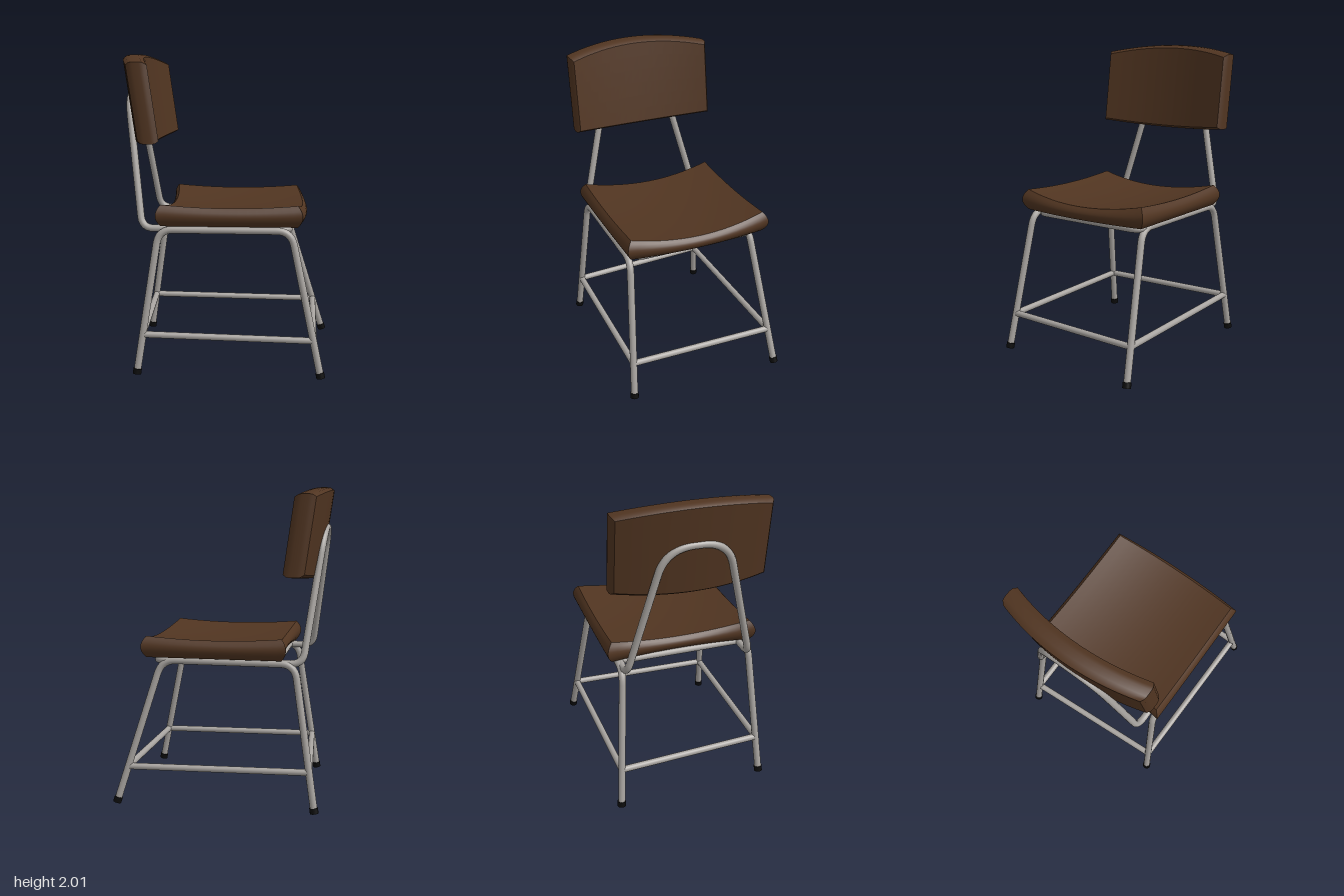
import * as THREE from 'three';

const wood = new THREE.MeshStandardMaterial({ color: 0x513521 });
wood.name = 'brown wood';
const steel = new THREE.MeshStandardMaterial({ color: 0xa8a4a0 });
steel.name = 'grey steel';
const rubber = new THREE.MeshStandardMaterial({ color: 0x0c0c0c });
rubber.name = 'black rubber';

const TUBE = 0.023;

function add(group, name, geometry, material) {
  const mesh = new THREE.Mesh(geometry, material);
  mesh.name = name;
  group.add(mesh);
  return mesh;
}

// Tube through corner points [x, y, z, bend]; each corner is rounded over its bend length
function bentTube(corners, closed = false) {
  const pts = corners.map(c => new THREE.Vector3(c[0], c[1], c[2]));
  const path = new THREE.CurvePath();
  let from = pts[0];
  for (let i = 1; i < pts.length - 1; i++) {
    const bend = corners[i][3] ?? 0.09;
    const toward = (p) => pts[i].clone().add(p.clone().sub(pts[i]).setLength(bend));
    const a = toward(pts[i - 1]), b = toward(pts[i + 1]);
    path.add(new THREE.LineCurve3(from, a));
    path.add(new THREE.QuadraticBezierCurve3(a, pts[i], b));
    from = b;
  }
  path.add(new THREE.LineCurve3(from, pts[pts.length - 1]));
  return new THREE.TubeGeometry(path, closed ? 220 : 110, TUBE, 12, closed);
}

// Straight round bar between two points
function bar(a, b, radius) {
  const dir = b.clone().sub(a);
  const geo = new THREE.CylinderGeometry(radius, radius, dir.length(), 14);
  geo.applyQuaternion(new THREE.Quaternion().setFromUnitVectors(
    new THREE.Vector3(0, 1, 0), dir.clone().normalize()));
  return geo.translate(...a.clone().add(b).multiplyScalar(0.5).toArray());
}

// Subdivided block whose vertices, in -1..1, are moved by a rule
function mouldedBlock(nx, ny, nz, rule) {
  const geo = new THREE.BoxGeometry(2, 2, 2, nx, ny, nz);
  const pos = geo.attributes.position;
  for (let i = 0; i < pos.count; i++) {
    pos.setXYZ(i, ...rule(pos.getX(i), pos.getY(i), pos.getZ(i)));
  }
  geo.computeVertexNormals();
  return geo;
}

export function createModel() {
  const model = new THREE.Group();
  model.name = 'chair';
  const chair = new THREE.Group();
  chair.name = 'turnedChair';
  chair.rotation.y = THREE.MathUtils.degToRad(66.4);
  model.add(chair);

  // Seat: dished top, flat base, rounded rim
  add(chair, 'seat', mouldedBlock(16, 8, 16, (x, y, z) => {
    const rim = 1 - 0.065 * y * y;
    const top = 1.08 - 0.05 * (1 - x * x) - 0.02 * (1 - z * z);
    return [
      x * 0.488 * rim,
      THREE.MathUtils.lerp(0.945, top, (y + 1) / 2),
      -0.015 + z * 0.455 * rim + 0.035 * (1 - x * x),
    ];
  }), wood);

  // Backrest: curved around the sitter, leaning back, crowned top
  add(chair, 'backrest', mouldedBlock(18, 6, 6, (x, y, z) => {
    const inset = 0.018 * z ** 4;
    const low = 1.43 + 0.025 * x * x + inset;
    const high = 2.0 - 0.05 * x * x - inset;
    const h = THREE.MathUtils.lerp(low, high, (y + 1) / 2);
    return [
      x * (0.487 - inset),
      h,
      -0.54 + 0.065 * z - 0.14 * (h - 1.7) - 0.07 * (1 - x * x),
    ];
  }), wood);

  // Legs: foot and upper corner of each
  const legs = {
    backLeft: { foot: [0.478, 0, -0.656], top: [0.412, 0.921, -0.517] },
    frontLeft: { foot: [0.495, 0, 0.608], top: [0.407, 0.921, 0.325] },
    frontRight: { foot: [-0.518, 0, 0.564], top: [-0.45, 0.921, 0.37] },
    backRight: { foot: [-0.506, 0, -0.598], top: [-0.444, 0.921, -0.455] },
  };
  const onLeg = (leg, y) => new THREE.Vector3(...leg.foot)
    .lerp(new THREE.Vector3(...leg.top), y / 0.921);

  // Side frames: two legs and the rail under the seat in one bent tube
  for (const side of ['Left', 'Right']) {
    const back = legs['back' + side], front = legs['front' + side];
    add(chair, 'sideFrame' + side, bentTube([
      onLeg(back, 0.02).toArray(), back.top, front.top, onLeg(front, 0.02).toArray(),
    ]), steel);
  }

  // Rubber feet and low stretchers running round the legs
  const order = Object.keys(legs);
  const stretcherPoint = (name) => onLeg(legs[name], name.startsWith('back') ? 0.255 : 0.237);
  order.forEach((name, i) => {
    add(chair, name + 'Foot', bar(onLeg(legs[name], 0.001), onLeg(legs[name], 0.036), 0.027), rubber);
    const next = order[(i + 1) % order.length];
    add(chair, name + 'Stretcher', bar(stretcherPoint(name), stretcherPoint(next), 0.021), steel);
  });

  // Back arch, running forward under the seat and across its front
  const half = [
    [0.4, 0.921, 0.36, 0.06],
    [0.4, 0.921, -0.565, 0.075],
    [0.19, 1.75, -0.675, 0.17],
  ];
  const mirrored = half.map(([x, y, z, d]) => [-x, y, z, d]).reverse();
  add(chair, 'backArch', bentTube(
    [[0, 0.921, 0.36], ...half, ...mirrored, [0, 0.921, 0.36]], true), steel);

  // Rear crossbar under the seat
  add(chair, 'rearCrossbar', bar(
    new THREE.Vector3(-0.42, 0.921, -0.4), new THREE.Vector3(0.4, 0.921, -0.4), 0.021), steel);

  return model;
}
